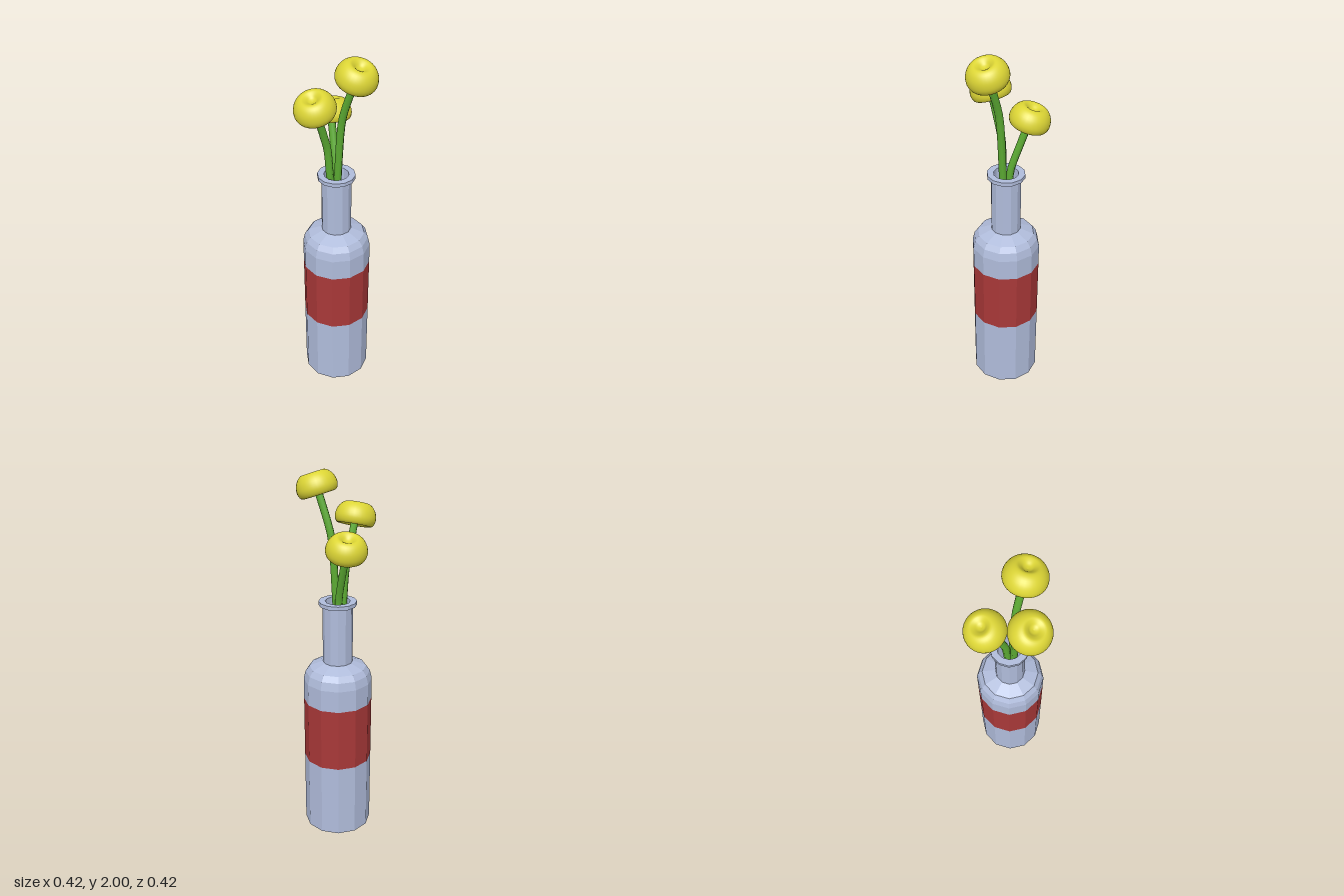
import * as THREE from 'three';

const mat = (name, color, extra = {}) => {
  const m = new THREE.MeshStandardMaterial({ color, ...extra });
  m.name = name;
  return m;
};

const lathe = (name, points, segments, material) => {
  const profile = points.map(([r, y]) => new THREE.Vector2(r, y));
  const mesh = new THREE.Mesh(new THREE.LatheGeometry(profile, segments), material);
  mesh.name = name;
  return mesh;
};

export function createModel() {
  const glass = mat('bottle blue grey', 0xb0bcdb, { flatShading: true });
  const red = mat('label red', 0xa83838, { flatShading: true });
  const green = mat('stem green', 0x5cab33);
  const yellow = mat('flower yellow', 0xdcd535);

  const model = new THREE.Group();
  model.name = 'bottleVase';

  // Twelve-sided bottle with a label band flush in its wall
  const bottle = new THREE.Group();
  bottle.name = 'bottle';
  bottle.position.set(-0.015, 0, -0.027);
  const R = 0.185;
  bottle.add(
    lathe('lowerBody', [[0, 0], [R, 0], [R, 0.42]], 12, glass),
    lathe('label', [[R, 0.42], [R, 0.77]], 12, red),
    lathe('shoulderAndNeck', [
      [R, 0.77], [R, 0.89], [0.174, 0.935], [0.153, 0.965], [0.08, 0.993],
      [0.08, 1.312], [0.101, 1.312], [0.101, 1.333], [0.066, 1.333],
      [0.066, 1.0], [0, 1.0],
    ], 12, glass),
  );
  model.add(bottle);

  // Flower head: squashed dome, dimpled above and hollow below
  const headProfile = new THREE.SplineCurve([
    [0, 0.03], [0.035, 0.024], [0.07, 0.004], [0.093, 0.006], [0.106, 0.035],
    [0.1, 0.073], [0.08, 0.103], [0.055, 0.116], [0.035, 0.108], [0.018, 0.095], [0, 0.09],
  ].map(([x, y]) => new THREE.Vector2(x, y)))
    .getPoints(36).map((p) => [Math.max(p.x, 0), p.y]);

  // Each stem path ends at the base of its head; lean tips the head
  const flowers = [
    { name: 'tallFlower', lean: [0.36, 0], path: [[-0.012, 1.01, -0.018], [0.002, 1.34, -0.018],
      [0.022, 1.63, -0.018], [0.036, 1.7, -0.018], [0.105, 1.9, -0.018]] },
    { name: 'frontFlower', lean: [0, 0.36], path: [[-0.02, 1.01, -0.01], [-0.03, 1.34, 0.01],
      [-0.036, 1.49, 0.02], [-0.039, 1.55, 0.036], [-0.046, 1.74, 0.1]] },
    { name: 'backFlower', lean: [-0.22, -0.22], path: [[-0.015, 1.01, -0.03], [-0.03, 1.34, -0.043],
      [-0.042, 1.4, -0.053], [-0.07, 1.5, -0.075], [-0.103, 1.62, -0.1]] },
  ];
  const up = new THREE.Vector3(0, 1, 0);
  for (const { name, lean, path } of flowers) {
    const flower = new THREE.Group();
    flower.name = name;
    const curve = new THREE.CatmullRomCurve3(path.map((p) => new THREE.Vector3(...p)));
    const stem = new THREE.Mesh(new THREE.TubeGeometry(curve, 16, 0.02, 8), green);
    stem.name = 'stem';
    const axis = new THREE.Vector3(lean[0], 1, lean[1]).normalize();
    const head = lathe('head', headProfile, 32, yellow);
    head.quaternion.setFromUnitVectors(up, axis);
    head.position.set(...path[path.length - 1]).addScaledVector(axis, -0.03);
    flower.add(stem, head);
    model.add(flower);
  }
  return model;
}
